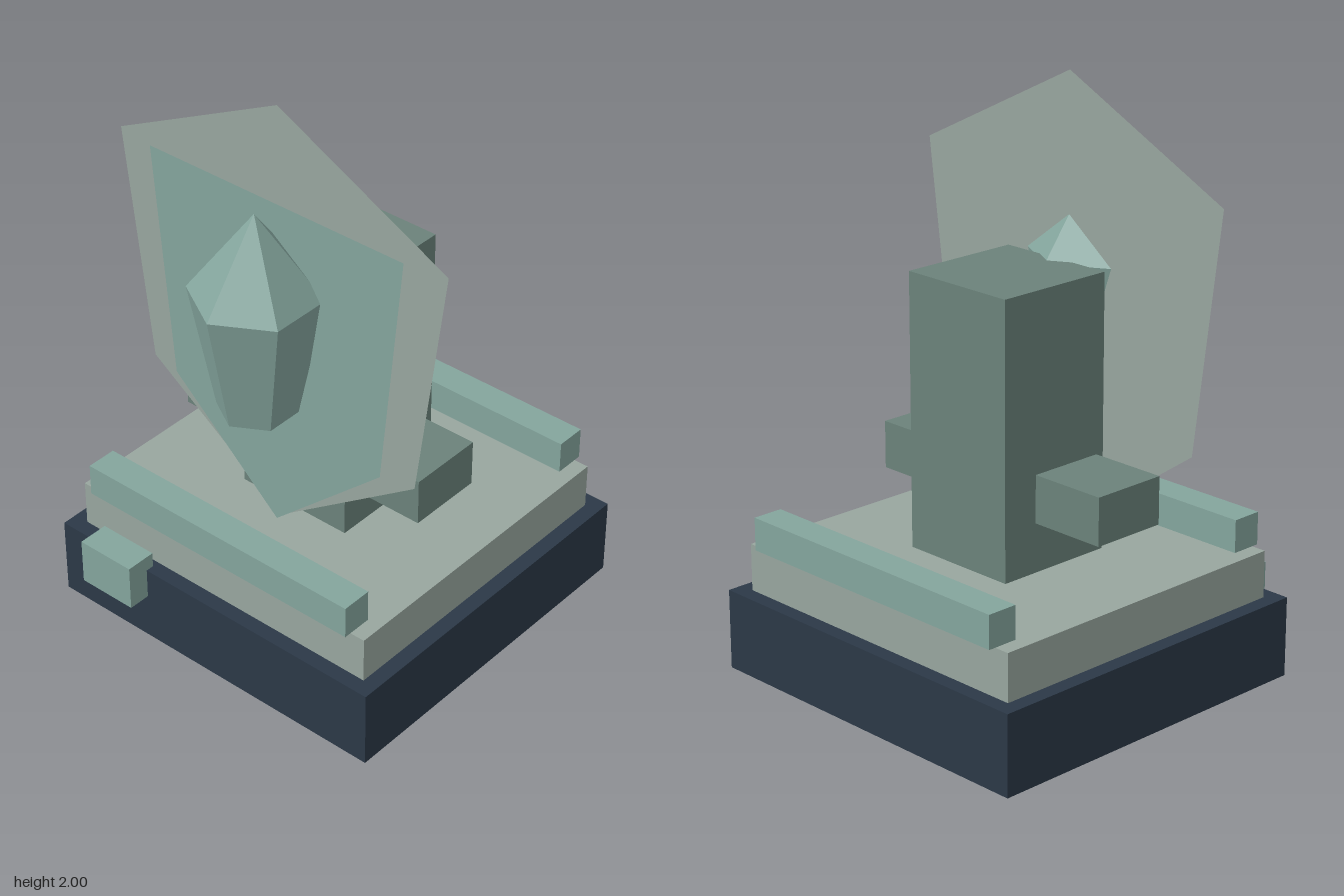
import * as THREE from 'three';

const mat = (color, side = THREE.FrontSide) =>
  new THREE.MeshStandardMaterial({ color, side, flatShading: true });

const NAVY = 0x2b3847, STONE = 0x98a69f, TEAL = 0x84a59d, SLATE = 0x6b827a;

export function createModel() {
  const model = new THREE.Group();

  const add = (name, geometry, material) => {
    const mesh = new THREE.Mesh(geometry, material);
    mesh.name = name;
    model.add(mesh);
    return mesh;
  };

  // Box given by its extents on each axis
  const box = (name, color, [x0, x1], [y0, y1], [z0, z1]) =>
    add(name, new THREE.BoxGeometry(x1 - x0, y1 - y0, z1 - z0), mat(color))
      .position.set((x0 + x1) / 2, (y0 + y1) / 2, (z0 + z1) / 2);

  // Thin upright panel, mirrored from the points of its right half
  const panel = (name, color, half, z) => {
    const mirrored = half.filter(([x]) => x > 0).reverse().map(([x, y]) => [-x, y]);
    const outline = [...half, ...mirrored].map(([x, y]) => new THREE.Vector2(x, y));
    add(name, new THREE.ShapeGeometry(new THREE.Shape(outline)), mat(color, THREE.DoubleSide))
      .position.z = z;
  };

  // Stepped base with a small block on its front
  box('base', NAVY, [-0.665, 0.665], [0, 0.28], [-0.68, 0.6]);
  box('plinth', STONE, [-0.61, 0.61], [0.28, 0.445], [-0.625, 0.545]);
  box('frontBlock', TEAL, [-0.5, -0.28], [0.17, 0.335], [0.57, 0.68]);

  // Rails along the front and back edges
  box('frontRail', TEAL, [-0.555, 0.555], [0.445, 0.56], [0.46, 0.57]);
  box('backRail', TEAL, [-0.555, 0.555], [0.445, 0.56], [-0.65, -0.54]);

  // Support column and its cross arms
  box('column', SLATE, [-0.22, 0.22], [0.445, 1.39], [-0.26, 0.18]);
  box('crossArms', SLATE, [-0.5, 0.5], [0.615, 0.78], [-0.125, 0.15]);

  // Shield plate with a smaller inlay in front
  panel('shield', STONE, [[0, 0.445], [0.555, 0.835], [0.665, 1.67], [0, 2]], 0.24);
  panel('shieldInlay', TEAL, [[0, 0.445], [0.435, 0.835], [0.515, 1.67]], 0.265);

  // Six-sided crystal: pointed crown above a tapering body
  add('crystalCrown', new THREE.ConeGeometry(0.22, 0.29, 6, 1, true), mat(TEAL))
    .position.set(0, 1.525, 0.35);
  const body = new THREE.CylinderGeometry(0.22, 0.133, 0.435, 6);
  add('crystalBody', body, mat(TEAL)).position.set(0, 1.1625, 0.35);

  return model;
}
